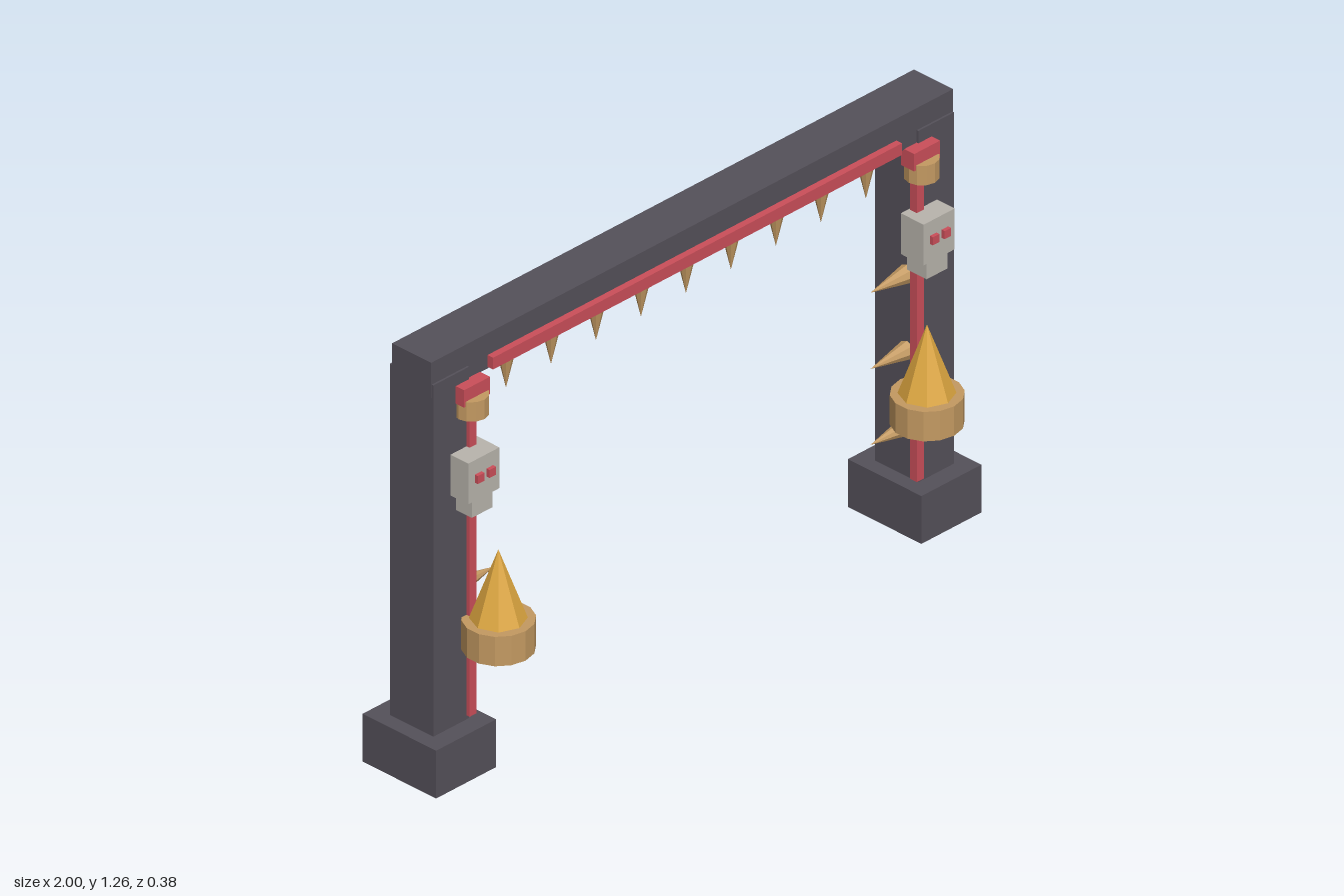
import * as THREE from 'three';

const mat = (name, color) => {
  const m = new THREE.MeshStandardMaterial({ color, flatShading: true });
  m.name = name;
  return m;
};

export function createModel() {
  const stone = mat('darkStone', 0x55515a);
  const red = mat('redTrim', 0xcc4f5a);
  const bone = mat('paleBone', 0xb9b5ad);
  const horn = mat('hornBrown', 0xc49a62);
  const gold = mat('flameGold', 0xdda640);

  const add = (parent, name, geometry, material, x, y, z) => {
    const mesh = new THREE.Mesh(geometry, material);
    mesh.name = name;
    mesh.position.set(x, y, z);
    parent.add(mesh);
    return mesh;
  };
  // Box given by its lower and upper corners
  const box = (parent, name, material, a, b) => add(parent, name,
    new THREE.BoxGeometry(b[0] - a[0], b[1] - a[1], b[2] - a[2]), material,
    (a[0] + b[0]) / 2, (a[1] + b[1]) / 2, (a[2] + b[2]) / 2);

  const gate = new THREE.Group();
  gate.name = 'gate';

  // Lintel with trim and hanging spikes
  box(gate, 'lintel', stone, [-0.957, 1.155, -0.123], [0.957, 1.26, 0.017]);
  box(gate, 'lintelTrim', red, [-0.75, 1.16, 0.01], [0.75, 1.195, 0.037]);
  const hanging = new THREE.ConeGeometry(0.025, 0.11, 8);
  for (let i = -4; i <= 4; i++) {
    add(gate, 'lintelSpike', hanging, horn, i * 0.165, 1.105, -0.005).rotation.x = Math.PI;
  }

  // Everything on one side, built for s = 1 (left) and s = -1 (right)
  for (const s of [1, -1]) {
    const side = new THREE.Group();
    side.name = s > 0 ? 'leftPost' : 'rightPost';
    gate.add(side);
    const sideBox = (name, material, x0, x1, y0, y1, z0, z1) =>
      box(side, name, material, [Math.min(s * x0, s * x1), y0, z0], [Math.max(s * x0, s * x1), y1, z1]);

    sideBox('footing', stone, 0.78, 1.0, 0, 0.143, -0.187, 0.077);
    sideBox('pillar', stone, 0.824, 0.955, 0.143, 1.194, -0.133, 0.023);
    sideBox('pillarTrim', red, 0.807, 0.833, 0.155, 1.052, 0.01, 0.034);

    // Small lamp under the lintel
    sideBox('lampBracket', red, 0.778, 0.873, 1.105, 1.157, 0.005, 0.053);
    add(side, 'lampCup', new THREE.CylinderGeometry(0.047, 0.047, 0.058, 12), horn, s * 0.826, 1.091, 0.033);

    // Skull with jaw and eyes
    sideBox('skull', bone, 0.778, 0.892, 0.838, 0.96, 0.005, 0.087);
    sideBox('jaw', bone, 0.796, 0.872, 0.786, 0.84, 0.01, 0.08);
    for (const x of [0.813, 0.856]) {
      sideBox('eye', red, x - 0.012, x + 0.012, 0.893, 0.917, 0.08, 0.098);
    }

    // Spikes pointing into the opening
    for (const y of [0.295, 0.522, 0.75]) {
      add(side, 'pillarSpike', new THREE.ConeGeometry(0.028, 0.14, 8), horn,
        s * 0.76, y, -0.018).rotation.z = s * Math.PI / 2;
    }

    // Brazier and flame
    add(side, 'brazier', new THREE.CylinderGeometry(0.097, 0.097, 0.088, 14), horn, s * 0.786, 0.412, 0.092);
    add(side, 'flame', new THREE.ConeGeometry(0.078, 0.21, 8), gold, s * 0.786, 0.555, 0.091);
  }

  return gate;
}
